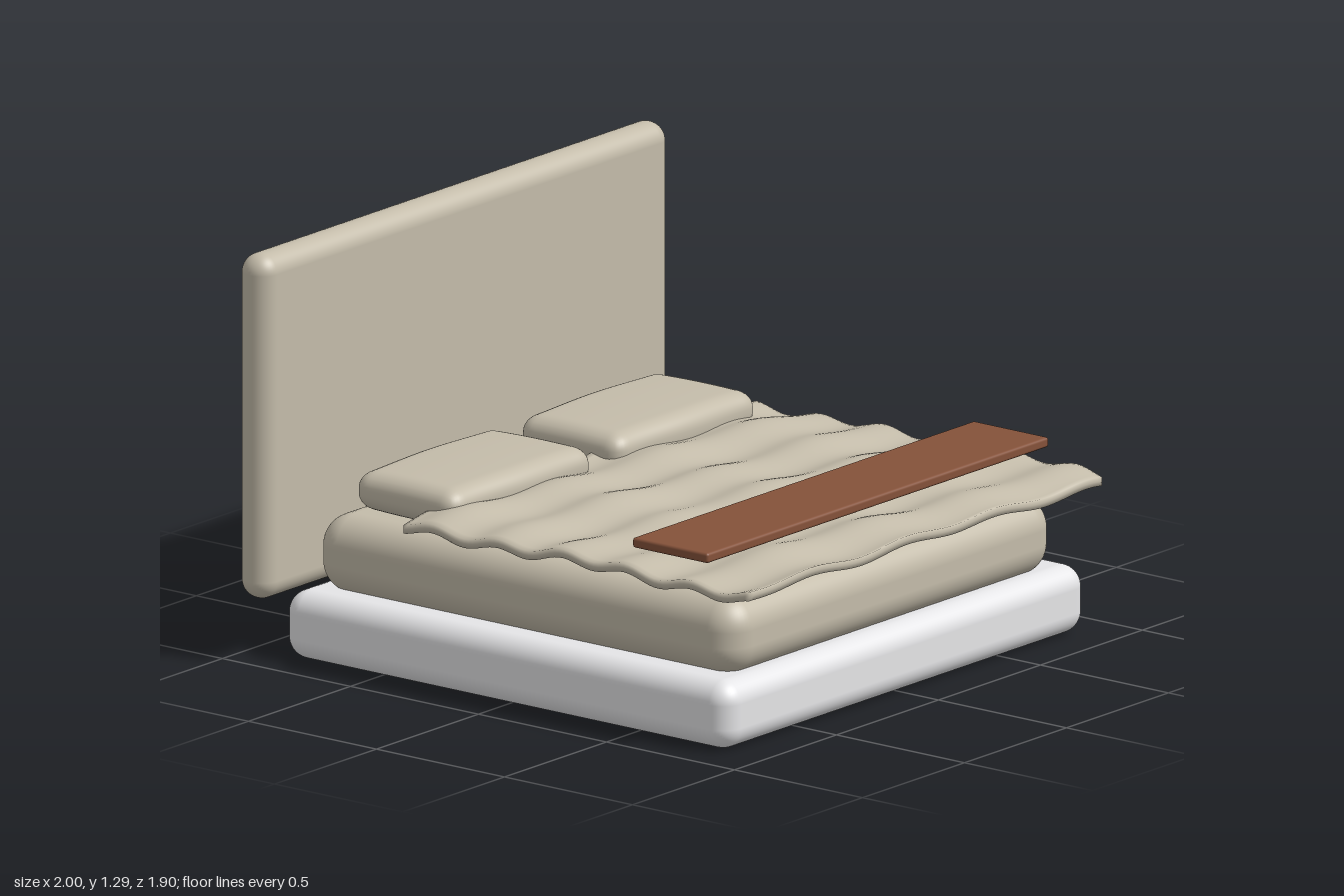
import * as THREE from 'three';
import { mergeVertices } from 'three/addons/utils/BufferGeometryUtils.js';
import { RoundedBoxGeometry } from 'three/addons/geometries/RoundedBoxGeometry.js';

const flat = (name, color) => {
  const m = new THREE.MeshStandardMaterial({ color });
  m.name = name;
  return m;
};

// Box with welded, smoothly shaded vertices moved by a rule
function softBox(w, h, d, nx, ny, nz, rule) {
  let g = new THREE.BoxGeometry(w, h, d, nx, ny, nz);
  g.deleteAttribute('normal');
  g.deleteAttribute('uv');
  g = mergeVertices(g);
  const p = g.attributes.position;
  const v = new THREE.Vector3();
  for (let i = 0; i < p.count; i++) {
    rule(v.fromBufferAttribute(p, i));
    p.setXYZ(i, v.x, v.y, v.z);
  }
  g.computeVertexNormals();
  return g;
}

export function createModel() {
  const bed = new THREE.Group();
  bed.name = 'bed';
  const white = flat('white base', 0xe6e6e8);
  const linen = flat('beige linen', 0xc4bcaa);
  const brown = flat('brown throw', 0x85523a);

  const add = (name, geometry, material, x, y, z) => {
    const mesh = new THREE.Mesh(geometry, material);
    mesh.name = name;
    mesh.position.set(x, y, z);
    bed.add(mesh);
    return mesh;
  };

  // Padded slabs
  const slab = (w, h, d, r) => new RoundedBoxGeometry(w, h, d, 6, r);
  add('base', slab(1.78, 0.217, 1.745, 0.07), white, 0, 0.1085, 0.01);
  add('mattress', slab(1.605, 0.25, 1.65, 0.1), linen, 0, 0.322, 0.01);
  add('headboard', slab(2, 1.095, 0.122, 0.0605), linen, 0, 0.7475, -0.894);

  // Pillows: rounded cushions with a gentle crown and slightly uneven sides
  const W = 0.35, H = 0.069, D = 0.212, R = 0.06;
  const core = new THREE.Vector3(W - R, H - R, D - R);
  const inner = new THREE.Vector3();
  const pillow = softBox(2 * W, 2 * H, 2 * D, 40, 12, 28, (v) => {
    inner.copy(v).clamp(core.clone().negate(), core);
    v.sub(inner).normalize().multiplyScalar(R).add(inner);
    const a = v.x / W, b = v.z / D;
    v.y *= 1 - 0.1 * a * a - 0.08 * b * b;
    v.x *= 0.985 + 0.015 * b;
    v.z *= 0.98 + 0.02 * Math.cos(a * 4);
  });
  for (const side of [-1, 1]) {
    add(side > 0 ? 'leftPillow' : 'rightPillow', pillow, linen, side * 0.403, 0.529, -0.498);
  }

  // Rippled blanket: thin sheet with slanted folds, drooping a little at the sides
  const blanket = softBox(1.73, 0.028, 1.35, 80, 2, 80, (v) => {
    const z = v.z + 0.275;
    const droop = 0.016 * Math.pow(Math.abs(v.x) / 0.865, 6);
    v.y += 0.011 * Math.sin(25 * (z - 0.08 * v.x) + 0.8)
      + 0.008 * Math.sin(14 * v.x + 3 * z)
      + 0.005 * Math.sin(9 * z - 6 * v.x) - droop;
  });
  add('blanket', blanket, linen, 0, 0.513, 0.275);

  // Folded throw across the foot
  add('throw', new RoundedBoxGeometry(1.675, 0.032, 0.295, 3, 0.009), brown, 0, 0.592, 0.618);

  return bed;
}
